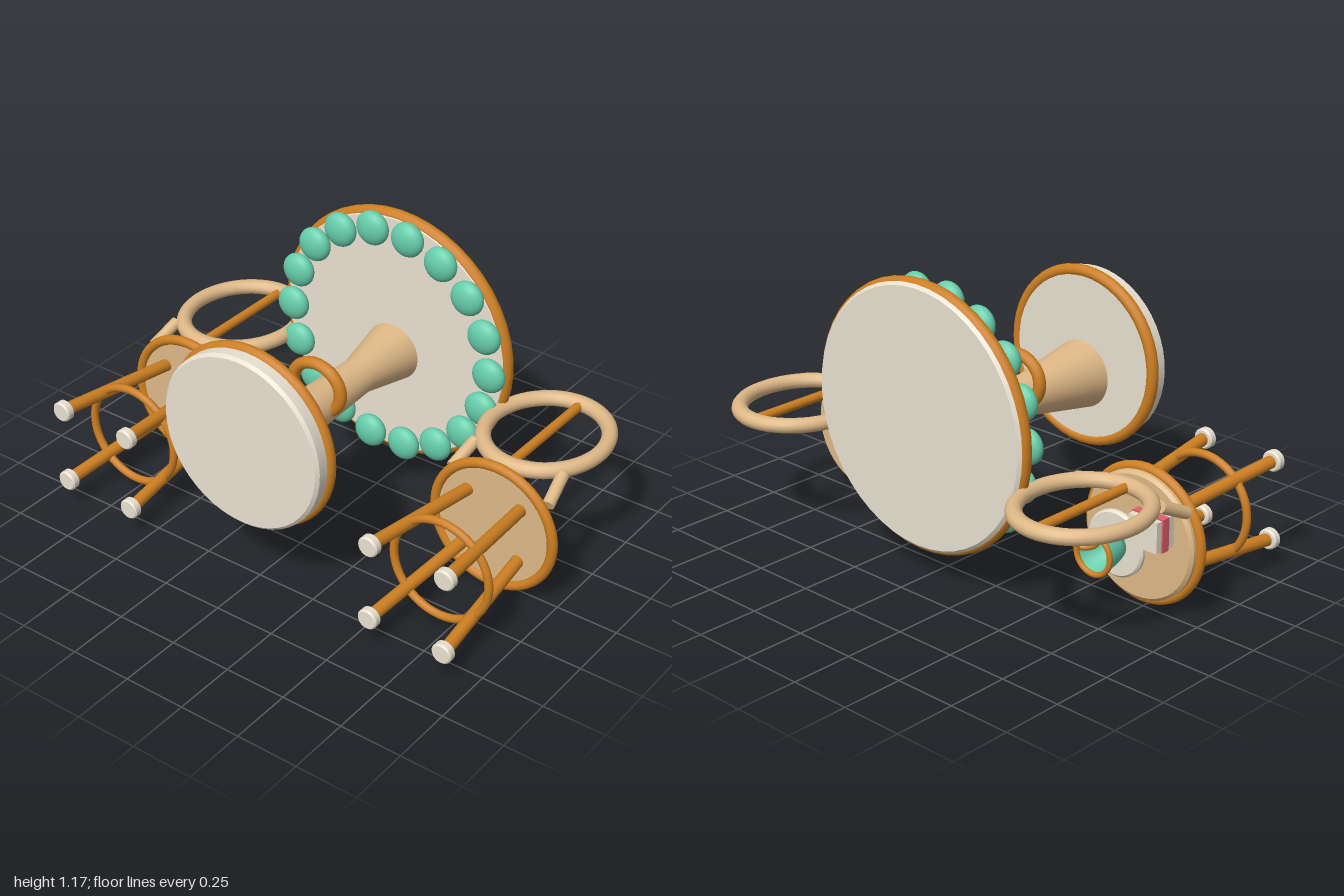
import * as THREE from 'three';

const paint = (color) => new THREE.MeshStandardMaterial({ color, side: THREE.DoubleSide });
const wood = paint(0xcd7f22), tan = paint(0xdeb887), cream = paint(0xe8e0d0);
const mint = paint(0x66cdaa), pink = paint(0xe0606a);
const V = (x, y, z) => new THREE.Vector3(x, y, z);

function add(parent, name, geometry, material, x = 0, y = 0, z = 0) {
  const mesh = new THREE.Mesh(geometry, material);
  mesh.name = name;
  mesh.position.set(x, y, z);
  parent.add(mesh);
  return mesh;
}

// Horizontal ring given by its outer radius
const ring = (outer, tube) => new THREE.TorusGeometry(outer - tube, tube, 12, 48).rotateX(Math.PI / 2);

// Flat disc with a small bevel, from y0 to y1
function disc(r, y0, y1, b = 0.012) {
  const p = [[0, y0], [r - b, y0], [r - b, y0], [r, y0 + b], [r, y0 + b], [r, y1 - b], [r, y1 - b], [r - b, y1], [r - b, y1], [0, y1]];
  return new THREE.LatheGeometry(p.map(([x, y]) => new THREE.Vector2(x, y)), 48);
}

// Round bar between two points
function bar(parent, name, a, b, r, material) {
  const d = b.clone().sub(a);
  const mesh = add(parent, name, new THREE.CylinderGeometry(r, r, d.length(), 14), material);
  mesh.position.copy(a).add(b).multiplyScalar(0.5);
  mesh.quaternion.setFromUnitVectors(V(0, 1, 0), d.normalize());
}

function makeTable() {
  const table = new THREE.Group();
  table.name = 'table';
  add(table, 'baseDisc', disc(0.353, -0.6, -0.505), cream);
  add(table, 'baseRim', ring(0.37, 0.024), wood, 0, -0.522);
  add(table, 'tableTop', disc(0.515, 0.345, 0.412), cream);
  add(table, 'tableTopRim', ring(0.53, 0.028), wood, 0, 0.375);

  // Waisted pedestal, set slightly off the table's axis
  const profile = [[0.14, -0.52], [0.085, -0.2], [0.073, 0.12], [0.122, 0.36]];
  add(table, 'pedestal', new THREE.LatheGeometry(profile.map(([x, y]) => new THREE.Vector2(x, y)), 40), tan, 0, 0, -0.072);
  add(table, 'pedestalRing', ring(0.134, 0.025), wood, 0, -0.14, 0.008).scale.z = 0.92;

  // Flattened beads beneath the rim
  for (let i = 0; i < 18; i++) {
    const a = (i * Math.PI) / 9;
    add(table, 'bead', new THREE.SphereGeometry(0.07, 24, 16), mint, 0.462 * Math.cos(a), 0.317, 0.462 * Math.sin(a))
      .scale.y = 0.58;
  }
  return table;
}

function makeChair() {
  const chair = new THREE.Group();
  chair.name = 'chair';
  add(chair, 'seat', disc(0.25, -0.035, 0.013), tan);
  add(chair, 'seatRim', ring(0.275, 0.02), wood, 0, -0.031);
  add(chair, 'legRing', ring(0.22, 0.016), wood, 0, -0.37);

  // Splayed legs with pale feet
  for (const sx of [-1, 1]) for (const sz of [-1, 1]) {
    bar(chair, 'leg', V(sx * 0.113, -0.02, sz * 0.113), V(sx * 0.16, -0.57, sz * 0.16), 0.025, wood);
    add(chair, 'foot', disc(0.041, -0.6, -0.563, 0.006), cream, sx * 0.16, 0, sz * 0.16);
  }

  // Oval back hoop, its posts and centre spindle
  add(chair, 'backHoop', new THREE.TorusGeometry(0.228, 0.03, 14, 56), tan, 0, 0.317, 0.215).scale.y = 1.12;
  for (const s of [-1, 1])
    bar(chair, 'backPost', V(s * 0.208, 0, 0.155), V(s * 0.19, 0.125, 0.213), 0.024, tan);
  bar(chair, 'backSpindle', V(0, 0.06, 0.215), V(0, 0.57, 0.215), 0.019, wood);
  return chair;
}

function makeTeaSet() {
  const set = new THREE.Group();
  set.name = 'teaSet';
  add(set, 'saucer', disc(0.13, 0.018, 0.046, 0.008), cream, 0.08, 0, -0.045);

  // Open cup with inner wall, rim and side handle
  const cup = new THREE.Group();
  cup.name = 'cup';
  cup.position.set(0.08, 0, -0.045);
  const wall = [[0, 0.044], [0.056, 0.044], [0.068, 0.08], [0.085, 0.165], [0.073, 0.165], [0.05, 0.06], [0, 0.06]];
  add(cup, 'cupBody', new THREE.LatheGeometry(wall.map(([x, y]) => new THREE.Vector2(x, y)), 32), mint);
  add(cup, 'cupRim', ring(0.09, 0.011), wood, 0, 0.163);
  add(cup, 'cupHandle', new THREE.TorusGeometry(0.042, 0.011, 10, 28), wood, 0.085, 0.108);
  set.add(cup);

  // Layered cake slice
  const layers = [[0.01, 0.045, cream], [0.045, 0.08, pink], [0.082, 0.108, cream]];
  layers.forEach(([y0, y1, m], i) => {
    const size = m === pink ? 0.13 : 0.12;
    add(set, 'cakeLayer' + (i + 1), new THREE.BoxGeometry(size + 0.01, y1 - y0, size), m, -0.1, (y0 + y1) / 2, 0.075);
  });
  return set;
}

export function createModel() {
  const model = new THREE.Group();
  model.name = 'tableAndChairs';
  // Built upright, then laid on its back
  const upright = new THREE.Group();
  upright.name = 'furniture';
  upright.rotation.x = -Math.PI / 2;
  model.add(upright);

  const table = makeTable();
  table.position.z = 0.65;
  upright.add(table);
  for (const s of [-1, 1]) {
    const chair = makeChair();
    chair.name = s < 0 ? 'rightChair' : 'leftChair';
    chair.position.set(s * 0.725, 0, 0.28);
    if (s < 0) chair.add(makeTeaSet());
    upright.add(chair);
  }
  return model;
}
